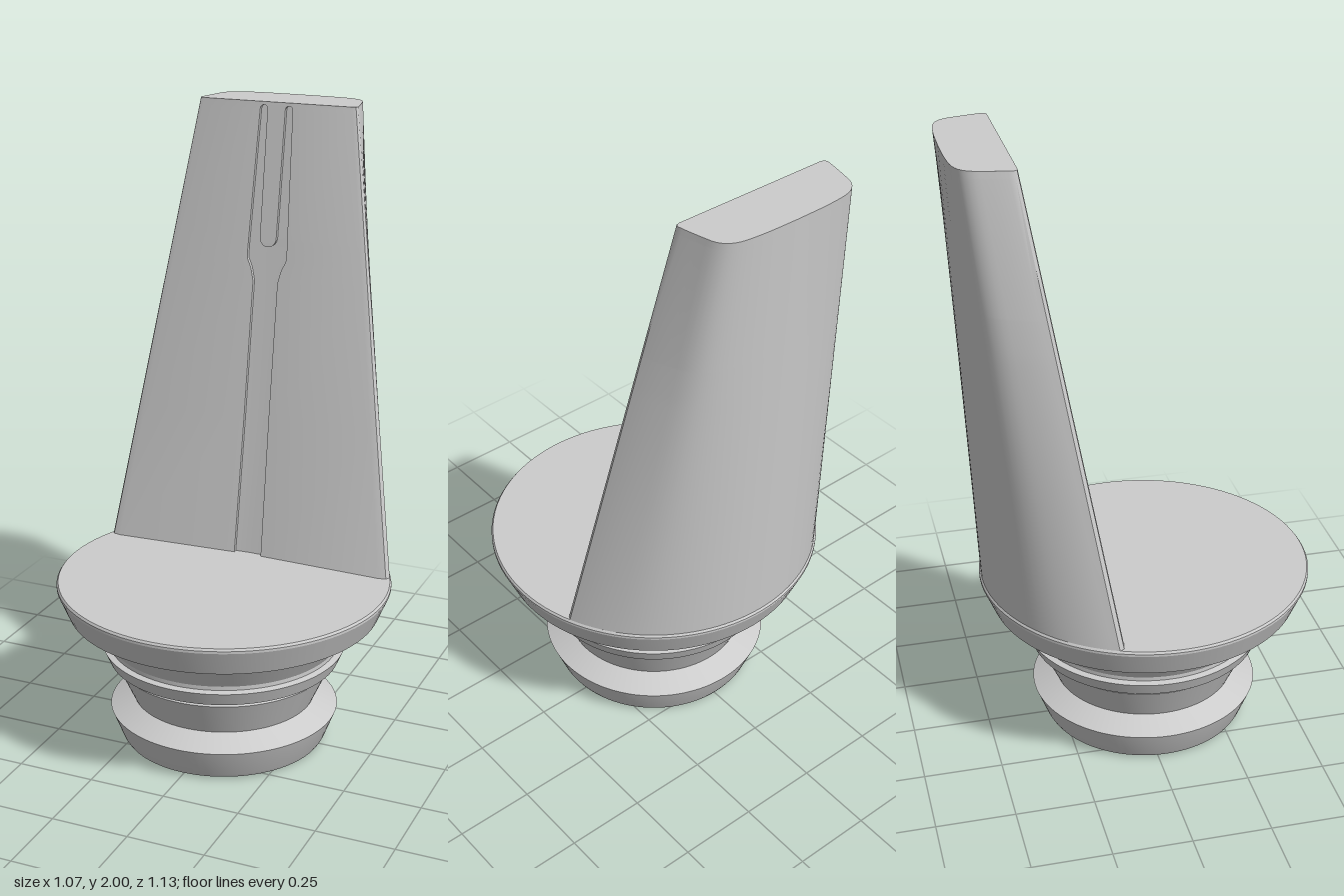
import * as THREE from 'three';
import { toCreasedNormals } from 'three/addons/utils/BufferGeometryUtils.js';

const CENTRE_Z = 0.03, FOOT = 0.55, TIP = 2, RIM = 0.53;
const lerp = THREE.MathUtils.lerp;

// Surface through columns listed left to right as seen from outside, each running bottom to top.
function grid(columns) {
  const rows = columns[0].length, index = [];
  for (let i = 0; i < columns.length - 1; i++) {
    for (let j = 0; j < rows - 1; j++) {
      const a = i * rows + j, b = a + rows;
      index.push(a, b, b + 1, a, b + 1, a + 1);
    }
  }
  const geometry = new THREE.BufferGeometry();
  geometry.setAttribute('position', new THREE.Float32BufferAttribute(columns.flat(2), 3));
  geometry.setIndex(index);
  return geometry;
}

// Half outlines of the blade, [x, z], from the front corner round to the middle of the back.
function footOutline(steps) {
  const points = [[0.46, -0.145], [0.485, -0.15]];
  const start = Math.asin(0.493 / RIM);
  for (let i = 0; i <= steps; i++) {
    const a = start * (1 - i / steps);
    points.push([RIM * Math.sin(a), CENTRE_Z - RIM * Math.cos(a)]);
  }
  return points;
}

function tipOutline(steps) {
  const curve = new THREE.CatmullRomCurve3([
    [0.266, -0.4], [0.262, -0.425], [0.25, -0.48], [0.24, -0.517], [0.222, -0.542],
    [0.19, -0.558], [0.12, -0.567], [0, -0.57],
  ].map(([x, z]) => new THREE.Vector3(x, 0, z)));
  return [[0.25, -0.388], [0.262, -0.391], ...curve.getSpacedPoints(steps).map((p) => [p.x, p.z])];
}

const mirrored = (half) => [...half, ...half.slice(0, -1).reverse().map(([x, z]) => [-x, z])];

// Rows of the front channel: height, channel half width, tongue half width, tongue raised or not.
function channelRows() {
  const rows = [[FOOT, 0.047, 0, 0], [1, 0.043, 0, 0], [1.44, 0.042, 0, 0], [1.48, 0.052, 0, 0],
    [1.51, 0.066, 0, 0], [1.54, 0.067, 0, 0], [1.55, 0.067, 0, 0]];
  for (let i = 0; i <= 8; i++) { // rounded lower end of the tongue
    const a = (i / 8) * Math.PI / 2;
    rows.push([1.58 - 0.03 * Math.cos(a), 0.067 - 0.001 * i / 8, 0.028 * Math.sin(a), 1]);
  }
  for (let i = 0; i <= 6; i++) { // rounded upper ends of the two grooves
    const a = (i / 6) * Math.PI / 2, w = 0.0125 * Math.cos(a);
    rows.push([1.977 + 0.013 * Math.sin(a), 0.0425 + w, 0.0425 - w, 1]);
  }
  rows.push([TIP, 0.0425, 0.0425, 1]);
  return rows;
}

function bladeGeometry() {
  const foot = mirrored(footOutline(24)), tip = mirrored(tipOutline(24));
  const rows = channelRows();
  const along = (y) => (y - FOOT) / (TIP - FOOT);

  // back and sides
  const columns = foot.map((f, i) => rows.map(([y]) => {
    const t = along(y);
    return [lerp(f[0], tip[i][0], t), y, lerp(f[1], tip[i][1], t)];
  }));

  // slightly hollow front face with the sunken channel and its tongue
  const front = (x, y, sunk) => {
    const t = along(y), edge = lerp(0.46, 0.25, t);
    const footZ = -0.165 + 0.02 * Math.abs(x) / edge;
    return [x, y, lerp(footZ, -0.388, t) - (sunk ? 0.013 : 0)];
  };
  const profile = [
    ([y, c]) => front(-c, y, false),
    ([y, c]) => front(-c, y, true),
    ([y, , u]) => front(-u, y, true),
    ([y, , u, up]) => front(-u, y, !up),
    ([y, , u, up]) => front(u, y, !up),
    ([y, , u]) => front(u, y, true),
    ([y, c]) => front(c, y, true),
    ([y, c]) => front(c, y, false),
  ];
  profile.forEach((point) => columns.push(rows.map(point)));
  columns.push(columns[0]);
  return toCreasedNormals(grid(columns), 0.6);
}

function tipGeometry() {
  const outline = mirrored(tipOutline(24)).map(([x, z]) => new THREE.Vector2(x, -z));
  return new THREE.ShapeGeometry(new THREE.Shape(outline)).rotateX(-Math.PI / 2).translate(0, TIP, 0);
}

// Turned base: plug, neck, ring, collar and wide platform
function baseGeometry() {
  const profile = [
    [0, 0], [0.31, 0], [0.328, 0.008], [0.335, 0.02], [0.37, 0.11], [0.295, 0.147],
    [0.347, 0.262], [0.335, 0.275], [0.335, 0.283], [0.373, 0.283], [0.392, 0.328],
    [0.372, 0.332], [0.372, 0.345], [0.425, 0.43], [0.5, 0.452], [0.535, 0.535],
    [0.535, 0.543], [RIM, FOOT], [0, FOOT],
  ].map(([r, y]) => new THREE.Vector2(r, y));
  return toCreasedNormals(new THREE.LatheGeometry(profile, 96), 0.35);
}

export function createModel() {
  const group = new THREE.Group();
  const material = new THREE.MeshStandardMaterial({ color: 0xcccccc });
  const add = (name, geometry) => {
    const mesh = new THREE.Mesh(geometry, material);
    mesh.name = name;
    group.add(mesh);
    return mesh;
  };
  add('base', baseGeometry()).position.z = CENTRE_Z;
  add('blade', bladeGeometry());
  add('bladeTip', tipGeometry());
  return group;
}
